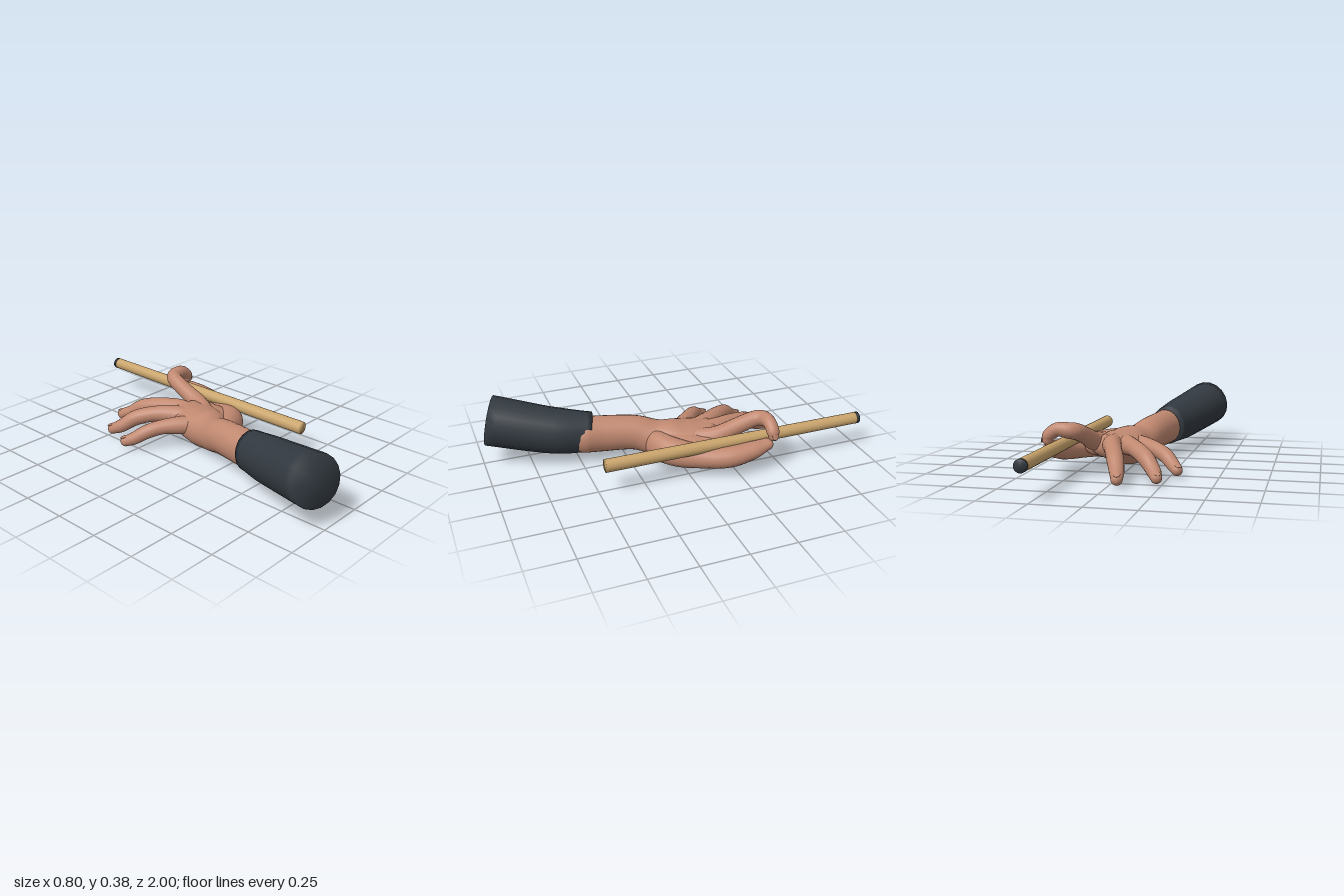
import * as THREE from 'three';

const mat = (name, color) => Object.assign(new THREE.MeshStandardMaterial({ color }), { name });

// Lofts an elliptical limb through rows of [x, y, z, halfWidth, halfHeight].
function limb(rows, { sides = 20, steps = 7, flat = false } = {}) {
  const path = new THREE.CatmullRomCurve3(rows.map(r => new THREE.Vector3(r[0], r[1], r[2])), false, 'centripetal');
  const size = new THREE.CatmullRomCurve3(rows.map(r => new THREE.Vector3(r[3], r[4], 0)), false, 'catmullrom', 0.3);
  const n = (rows.length - 1) * steps;
  const rings = [];
  const ring = (t, k, push) => {
    const dir = path.getTangent(t), s = size.getPoint(t);
    const side = dir.clone().cross(new THREE.Vector3(0, 1, 0)).normalize();
    const up = side.clone().cross(dir);
    const c = path.getPoint(t).addScaledVector(dir, push * Math.min(s.x, s.y));
    rings.push({ c, side: side.multiplyScalar(s.x * k), up: up.multiplyScalar(s.y * k) });
  };
  // Rounded or flat ends
  const end = (t, sign) => {
    const caps = flat ? [[0, 0]] : [1, 2, 3, 4, 5].map(i => [Math.cos(i * Math.PI / 10), Math.sin(i * Math.PI / 10)]);
    if (sign < 0) caps.reverse();
    caps.forEach(([k, p]) => ring(t, k, p * sign));
  };
  end(0, -1);
  for (let i = 0; i <= n; i++) ring(i / n, 1, 0);
  end(1, 1);

  const pos = [], idx = [];
  rings.forEach(({ c, side, up }, i) => {
    for (let j = 0; j < sides; j++) {
      const a = j / sides * Math.PI * 2;
      const p = c.clone().addScaledVector(side, Math.cos(a)).addScaledVector(up, Math.sin(a));
      pos.push(p.x, p.y, p.z);
      if (i === rings.length - 1) continue;
      const q = i * sides + j, r = i * sides + (j + 1) % sides;
      idx.push(q, q + sides, r, r, q + sides, r + sides);
    }
  });
  const g = new THREE.BufferGeometry();
  g.setAttribute('position', new THREE.Float32BufferAttribute(pos, 3));
  g.setIndex(idx);
  g.computeVertexNormals();
  return g;
}

export function createModel() {
  const group = new THREE.Group();
  group.name = 'handHoldingStick';
  const skin = mat('skin', 0xc08870);
  const cloth = mat('darkCloth', 0x323940);
  const wood = mat('wood', 0xc9a46c);
  const add = (name, geometry, material) => {
    const m = new THREE.Mesh(geometry, material);
    m.name = name;
    group.add(m);
    return m;
  };

  // Sleeve
  add('sleeve', limb([
    [-0.27, 0.245, 0.945, 0.138, 0.136],
    [-0.15, 0.181, 0.62, 0.124, 0.126],
    [-0.1, 0.161, 0.432, 0.1, 0.113],
  ], { sides: 18, flat: true }), cloth);

  // Forearm, wrist and palm as one form
  add('forearmAndPalm', limb([
    [-0.093, 0.155, 0.47, 0.096, 0.1],
    [-0.08, 0.151, 0.38, 0.09, 0.1],
    [-0.042, 0.142, 0.2, 0.09, 0.095],
    [-0.005, 0.115, 0.1, 0.1, 0.095],
    [0.035, 0.106, 0.01, 0.124, 0.106],
    [0.06, 0.115, -0.08, 0.144, 0.088],
    [0.078, 0.128, -0.175, 0.125, 0.068],
  ], { sides: 28 }), skin);

  // Thumb beneath the stick, with its fleshy base
  add('thumb', limb([
    [-0.005, 0.11, 0.125, 0.055, 0.07],
    [0.09, 0.106, 0.105, 0.066, 0.082],
    [0.195, 0.106, 0.035, 0.075, 0.074],
    [0.28, 0.102, -0.09, 0.066, 0.06],
    [0.33, 0.108, -0.2, 0.062, 0.057],
    [0.345, 0.128, -0.32, 0.053, 0.048],
    [0.345, 0.15, -0.41, 0.037, 0.031],
  ]), skin);
  add('thumbWeb', limb([
    [0.08, 0.115, 0.03, 0.1, 0.07],
    [0.155, 0.112, -0.06, 0.1, 0.066],
    [0.185, 0.12, -0.13, 0.065, 0.052],
  ]), skin);

  // Fingers: knuckle to tip
  const fingers = {
    indexFinger: [
      [0.13, 0.14, -0.09, 0.05, 0.05], [0.175, 0.157, -0.19, 0.05, 0.052],
      [0.187, 0.198, -0.3, 0.045, 0.045], [0.208, 0.238, -0.412, 0.042, 0.043],
      [0.236, 0.245, -0.436, 0.041, 0.042], [0.296, 0.249, -0.441, 0.036, 0.036],
      [0.342, 0.216, -0.441, 0.034, 0.034], [0.348, 0.194, -0.441, 0.028, 0.028],
    ],
    middleFinger: [
      [0.06, 0.14, -0.12, 0.053, 0.053], [0.068, 0.146, -0.22, 0.053, 0.052],
      [0.033, 0.142, -0.34, 0.046, 0.045], [-0.007, 0.114, -0.455, 0.044, 0.044],
      [-0.034, 0.067, -0.53, 0.038, 0.038], [-0.05, 0.041, -0.592, 0.03, 0.031],
    ],
    ringFinger: [
      [0.02, 0.136, -0.12, 0.053, 0.053], [-0.008, 0.141, -0.195, 0.052, 0.052],
      [-0.077, 0.138, -0.295, 0.045, 0.044], [-0.147, 0.109, -0.38, 0.043, 0.043],
      [-0.198, 0.06, -0.44, 0.037, 0.037], [-0.223, 0.035, -0.488, 0.029, 0.03],
    ],
    littleFinger: [
      [-0.005, 0.126, -0.04, 0.05, 0.052], [-0.07, 0.126, -0.1, 0.049, 0.05],
      [-0.147, 0.121, -0.163, 0.041, 0.041], [-0.215, 0.098, -0.216, 0.039, 0.039],
      [-0.264, 0.06, -0.266, 0.035, 0.035], [-0.292, 0.041, -0.304, 0.029, 0.03],
    ],
  };
  for (const [name, rows] of Object.entries(fingers)) {
    add(name, limb(rows), skin);
    // Fingernail on the outer face of the tip
    const [a, b] = rows.slice(-2).map(r => new THREE.Vector3(r[0], r[1], r[2]));
    const dir = b.clone().sub(a).normalize();
    const side = dir.clone().cross(new THREE.Vector3(0, 1, 0)).normalize();
    const up = side.clone().cross(dir);
    const nail = add(name + 'Nail', new THREE.SphereGeometry(1, 14, 8).scale(0.018, 0.005, 0.022), skin);
    nail.quaternion.setFromRotationMatrix(new THREE.Matrix4().makeBasis(side, up, dir.clone().negate()));
    nail.position.copy(b).addScaledVector(up, 0.027);
  }

  // Tapered stick with a dark tip
  const rod = (name, r0, r1, z0, z1, material) => add(name, limb([
    [0.283, 0.168, z0, r0, r0],
    [0.283, 0.168, z1, r1, r1],
  ], { steps: 1, flat: true }), material);
  rod('stick', 0.035, 0.032, 0.47, -0.982, wood);
  rod('stickTip', 0.0325, 0.032, -0.982, -1, cloth);
  return group;
}
